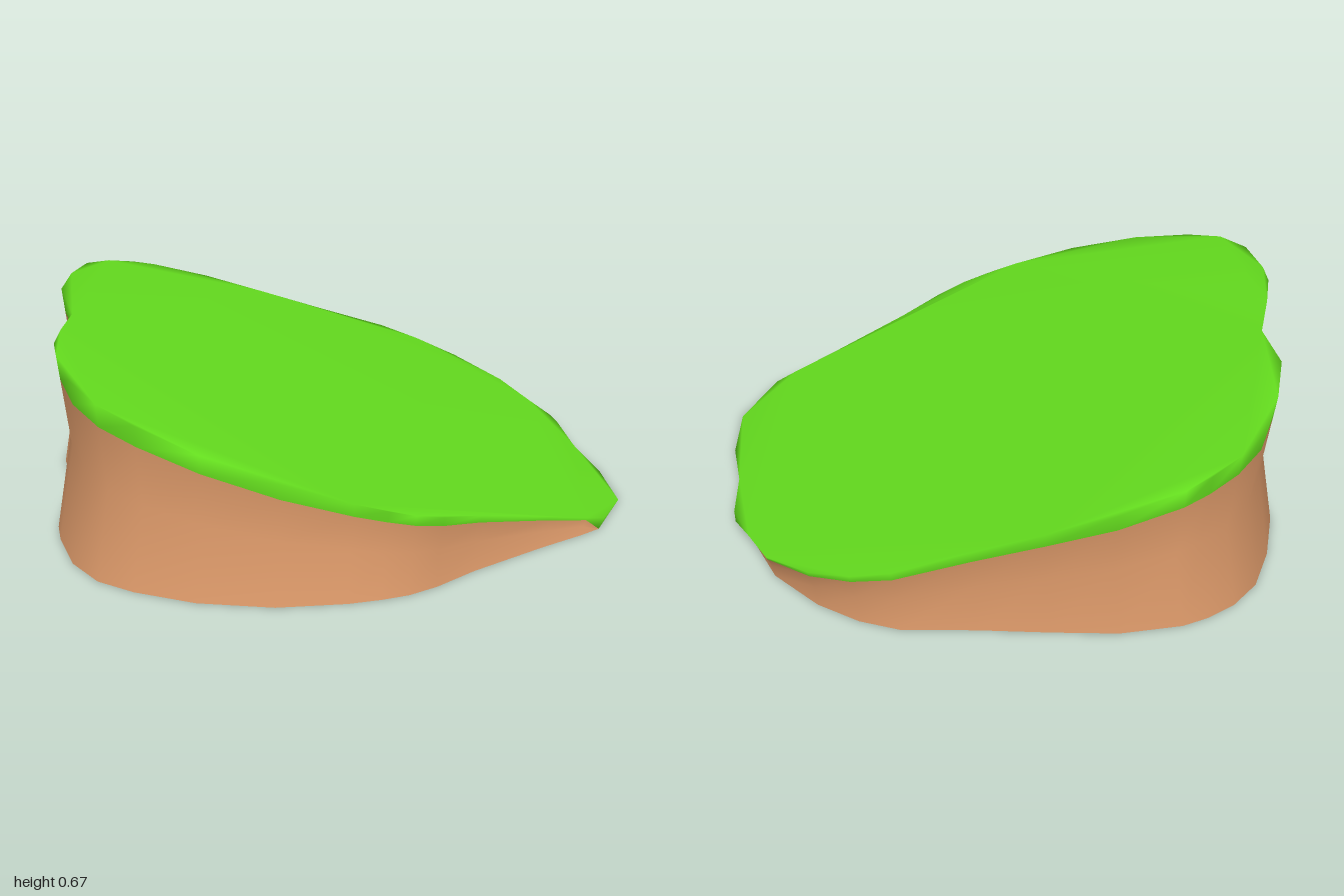
import * as THREE from 'three';

// Rim outline as x, z pairs, going round from the back by way of the low tip
const OUTLINE = [
  0.25, -0.95, 0.39, -0.92, 0.54, -0.85, 0.71, -0.715, 0.8, -0.57, 0.87, -0.465,
  0.89, -0.4, 0.915, -0.2, 0.975, 0, 0.995, 0.23, 0.9, 0.435, 0.83, 0.48,
  0.685, 0.56, 0.43, 0.715, 0.295, 0.815, 0.2, 0.865, 0.11, 0.89, 0, 0.91,
  -0.23, 0.92, -0.48, 0.875, -0.68, 0.79, -0.8, 0.71, -0.89, 0.58, -0.945, 0.4,
  -0.96, 0.3, -0.95, 0.16, -0.925, -0.03, -0.98, -0.25, -0.96, -0.45, -0.915, -0.62,
  -0.84, -0.73, -0.75, -0.805, -0.67, -0.85, -0.465, -0.905, -0.24, -0.92, 0, -0.93,
];
const rim = [];
for (let i = 0; i < OUTLINE.length; i += 2) rim.push(new THREE.Vector2(OUTLINE[i], OUTLINE[i + 1]));
const N = rim.length;

// Height of the sloping top at x
const slope = (x) => Math.max(0, 0.342 * (0.99 - x));

// Point on the side at height fraction t: footing slightly offset, waist pinched in
function sidePoint(p, t) {
  const h = slope(p.x);
  const pinch = 0.075 * h * (1 - Math.abs(2 * t - 1));
  const inward = p.clone().normalize().multiplyScalar(-pinch);
  return [p.x + inward.x - 0.022 * (1 - t), h * t, p.y + inward.y + 0.02 * (1 - t)];
}

// The turf reaches the ground at the low tip
const lipFraction = (p) => (p.x > 0.85 ? 0 : 0.87);

// Smooth skin through stacked rings, optionally closed by a cap
function skin(rings, capped) {
  const index = [];
  for (let r = 0; r < rings.length - 1; r++) {
    for (let i = 0; i < N; i++) {
      const j = (i + 1) % N;
      const a = r * N + i, b = r * N + j;
      index.push(b, a, a + N, b, a + N, b + N);
    }
  }
  if (capped) {
    const top = (rings.length - 1) * N;
    for (const [a, b, c] of THREE.ShapeUtils.triangulateShape(rim, [])) {
      index.push(top + a, top + c, top + b);
    }
  }
  const geometry = new THREE.BufferGeometry();
  geometry.setAttribute('position', new THREE.Float32BufferAttribute(rings.flat(2), 3));
  geometry.setIndex(index);
  geometry.computeVertexNormals();
  return geometry;
}

function part(name, geometry, color) {
  const material = new THREE.MeshStandardMaterial({ color, side: THREE.DoubleSide });
  const mesh = new THREE.Mesh(geometry, material);
  mesh.name = name;
  return mesh;
}

export function createModel() {
  const group = new THREE.Group();
  group.name = 'slopedHill';

  const foot = rim.map((p) => sidePoint(p, 0));
  const waist = rim.map((p) => sidePoint(p, Math.min(0.5, lipFraction(p))));
  const lip = rim.map((p) => sidePoint(p, lipFraction(p)));
  const edge = rim.map((p) => sidePoint(p, 1));

  // Earth wall, open underneath
  group.add(part('earthWall', skin([foot, waist, lip], false), 0xdd9a6a));
  // Grass top with its overhanging lip, shaded as one smooth surface
  group.add(part('grassTop', skin([lip, edge], true), 0x64dc1e));

  return group;
}
